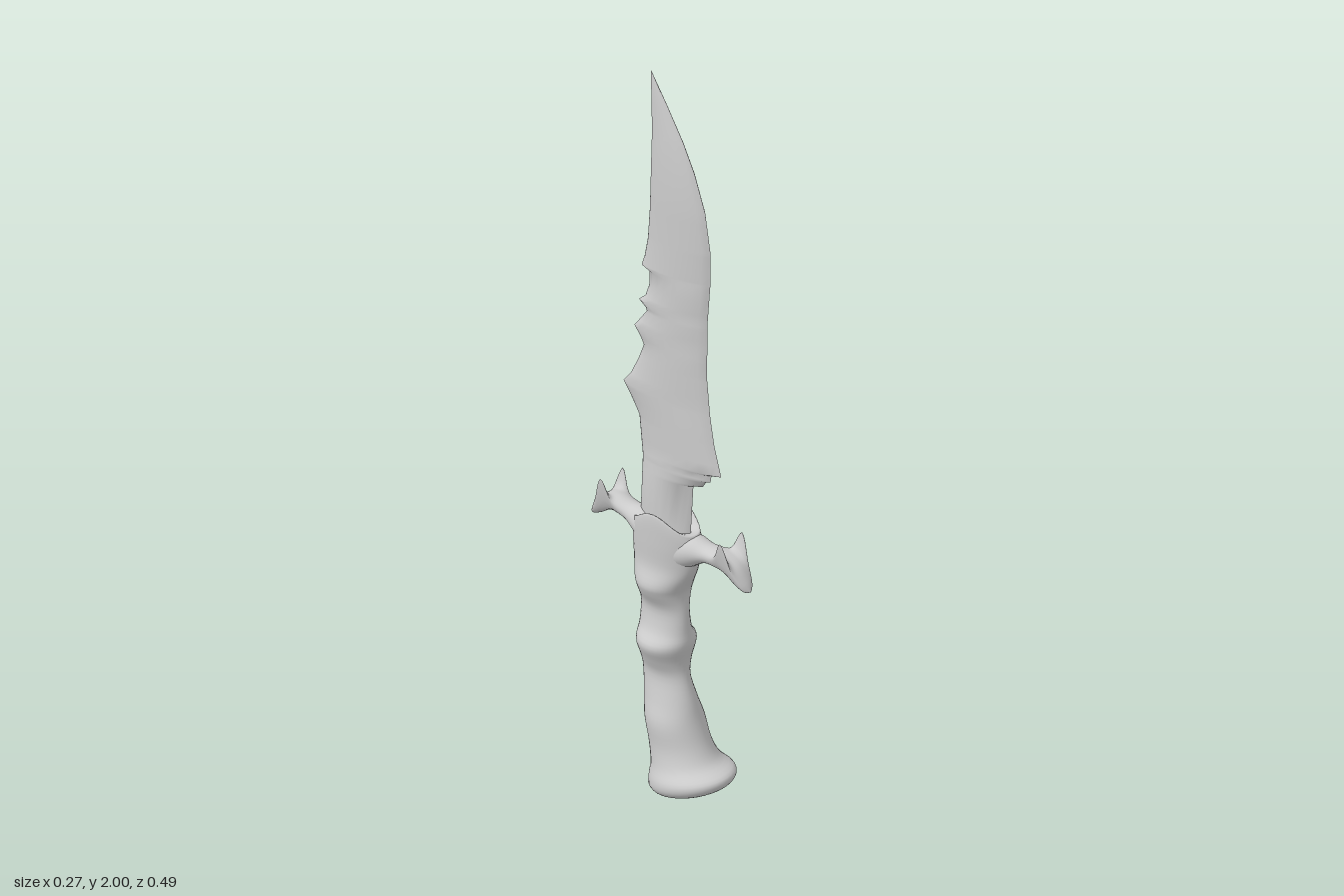
import * as THREE from 'three';
import { toCreasedNormals } from 'three/addons/utils/BufferGeometryUtils.js';

const material = new THREE.MeshStandardMaterial({ color: 0xcccccc });

// Skin a surface over a list of closed rings with equal point counts
function loft(rings) {
  const n = rings[0].length, index = [];
  for (let i = 0; i < rings.length - 1; i++) {
    for (let j = 0; j < n; j++) {
      const a = i * n + j, b = i * n + (j + 1) % n;
      index.push(a, a + n, b, b, a + n, b + n);
    }
  }
  const geometry = new THREE.BufferGeometry();
  geometry.setAttribute('position', new THREE.Float32BufferAttribute(rings.flat(2), 3));
  geometry.setIndex(index);
  geometry.computeVertexNormals();
  return geometry;
}

// One ring: point(cos, sin) gives [x, y, z]
function ring(n, point) {
  return Array.from({ length: n }, (_, j) => {
    const t = (j / n) * Math.PI * 2;
    return point(Math.cos(t), Math.sin(t));
  });
}

// Spline between rows of numbers, column by column
function smoothRows(rows, steps) {
  const columns = rows[0].map((_, c) =>
    new THREE.SplineCurve(rows.map((r, i) => new THREE.Vector2(i, r[c]))));
  const count = (rows.length - 1) * steps;
  return Array.from({ length: count + 1 }, (_, i) => columns.map((c) => c.getPoint(i / count).y));
}

// Linear lookup in a [y, z] edge profile
function edgeAt(profile, y) {
  const i = Math.max(1, profile.findIndex((p) => p[0] >= y));
  const [y0, z0] = profile[i - 1], [y1, z1] = profile[i];
  return z0 + (z1 - z0) * (y - y0) / (y1 - y0);
}

function makeHandle() {
  // y, centre z, half depth, half width, tilt, side peak height
  const rows = [
    [0.024, 0.065, 0, 0, 0.25, 0],
    [0.026, 0.065, 0.085, 0.075, 0.25, 0],
    [0.048, 0.075, 0.122, 0.103, 0.25, 0],
    [0.078, 0.077, 0.124, 0.107, 0.25, 0],
    [0.11, 0.055, 0.1, 0.088, 0.2, 0],
    [0.16, 0.035, 0.09, 0.077, 0.12, 0],
    [0.23, 0.015, 0.084, 0.077, 0.04, 0],
    [0.29, 0.002, 0.08, 0.06, 0, 0],
    [0.36, -0.013, 0.074, 0.046, 0, 0],
    [0.41, -0.016, 0.074, 0.062, 0, 0],
    [0.46, -0.014, 0.08, 0.081, 0, 0],
    [0.5, -0.016, 0.078, 0.055, 0, 0],
    [0.56, -0.018, 0.076, 0.044, 0, 0],
    [0.61, -0.021, 0.075, 0.066, 0, 0],
    [0.64, -0.02, 0.082, 0.073, 0, 0],
    [0.69, -0.015, 0.1, 0.057, 0, 0],
    [0.75, -0.011, 0.108, 0.058, 0, 0.01],
    [0.79, -0.011, 0.104, 0.058, 0, 0.04],
    [0.8, -0.011, 0.09, 0.048, 0, 0.04],
    [0.775, -0.011, 0, 0, 0, 0],
  ];
  return loft(smoothRows(rows, 4).map(([y, z, a, b, tilt, peak]) =>
    ring(36, (c, s) => [b * c, y + tilt * a * s + peak * c ** 4, z + a * s])));
}

// Guard arm reaching along +z, ending in two horns and a downturned beak
function makeGuardArm(lift) {
  // z, middle y, half height, half width, horn height
  const rows = [
    [0.02, 0.73, 0.06, 0.048, 0],
    [0.08, 0.752, 0.046, 0.044, 0],
    [0.13, 0.762, 0.026, 0.033, 0],
    [0.175, 0.762, 0.025, 0.035, 0.012],
    [0.205, 0.753, 0.026, 0.043, 0.078],
    [0.235, 0.735, 0.026, 0.034, 0.02],
    [0.26, 0.712, 0.014, 0.02, 0],
    [0.272, 0.7, 0, 0, 0],
  ];
  return loft(smoothRows(rows, 5).map(([z, y, h, w, horn]) =>
    ring(28, (c, s) => [
      w * c,
      y + lift * Math.min(1, z / 0.2) - h * s + horn * Math.abs(c) ** 4,
      z,
    ])));
}

function makeBlade() {
  // Cutting edge with a barbed heel: y, z
  const front = [
    [0.72, 0.065], [0.8, 0.07], [0.935, 0.078], [0.945, 0.11], [0.96, 0.12], [0.94 + 0.025, 0.135],
    [0.985, 0.138], [0.992, 0.17], [1.02, 0.162], [1.07, 0.147], [1.15, 0.132], [1.25, 0.121],
    [1.4, 0.122], [1.5, 0.13], [1.58, 0.13], [1.68, 0.112], [1.77, 0.078], [1.84, 0.042],
    [1.92, -0.008], [2, -0.061],
  ];
  // Toothed spine: y, z
  const back = [
    [0.72, -0.1], [0.8, -0.103], [0.97, -0.094], [1.08, -0.105], [1.12, -0.13], [1.16, -0.159],
    [1.19, -0.132], [1.24, -0.105], [1.28, -0.088], [1.3, -0.1], [1.325, -0.12], [1.345, -0.102],
    [1.375, -0.077], [1.385, -0.082], [1.4, -0.103], [1.415, -0.082], [1.45, -0.068], [1.485, -0.068],
    [1.495, -0.094], [1.52, -0.084], [1.57, -0.073], [1.65, -0.066], [1.85, -0.058], [2, -0.061],
  ];
  const levels = [...new Set([...front, ...back].map((p) => p[0]))].sort((a, b) => a - b);
  const geometry = loft(levels.map((y) => {
    const f = edgeAt(front, y), b = edgeAt(back, y), half = (f - b) / 2;
    const thick = Math.min(0.024, half * 0.3);
    return ring(20, (c, s) => [thick * c * Math.abs(c) ** 0.4, y, (f + b) / 2 + half * s]);
  }));
  return toCreasedNormals(geometry, 0.8);
}

export function createModel() {
  const model = new THREE.Group();
  model.name = 'dagger';
  const add = (name, geometry, turn = 0) => {
    const mesh = new THREE.Mesh(geometry, material);
    mesh.name = name;
    mesh.rotation.y = turn;
    model.add(mesh);
  };
  add('handle', makeHandle());
  add('frontGuardArm', makeGuardArm(0));
  add('backGuardArm', makeGuardArm(0.046), Math.PI);
  add('blade', makeBlade());
  // The whole dagger stands turned about its upright axis
  model.rotation.y = THREE.MathUtils.degToRad(25);
  return model;
}
